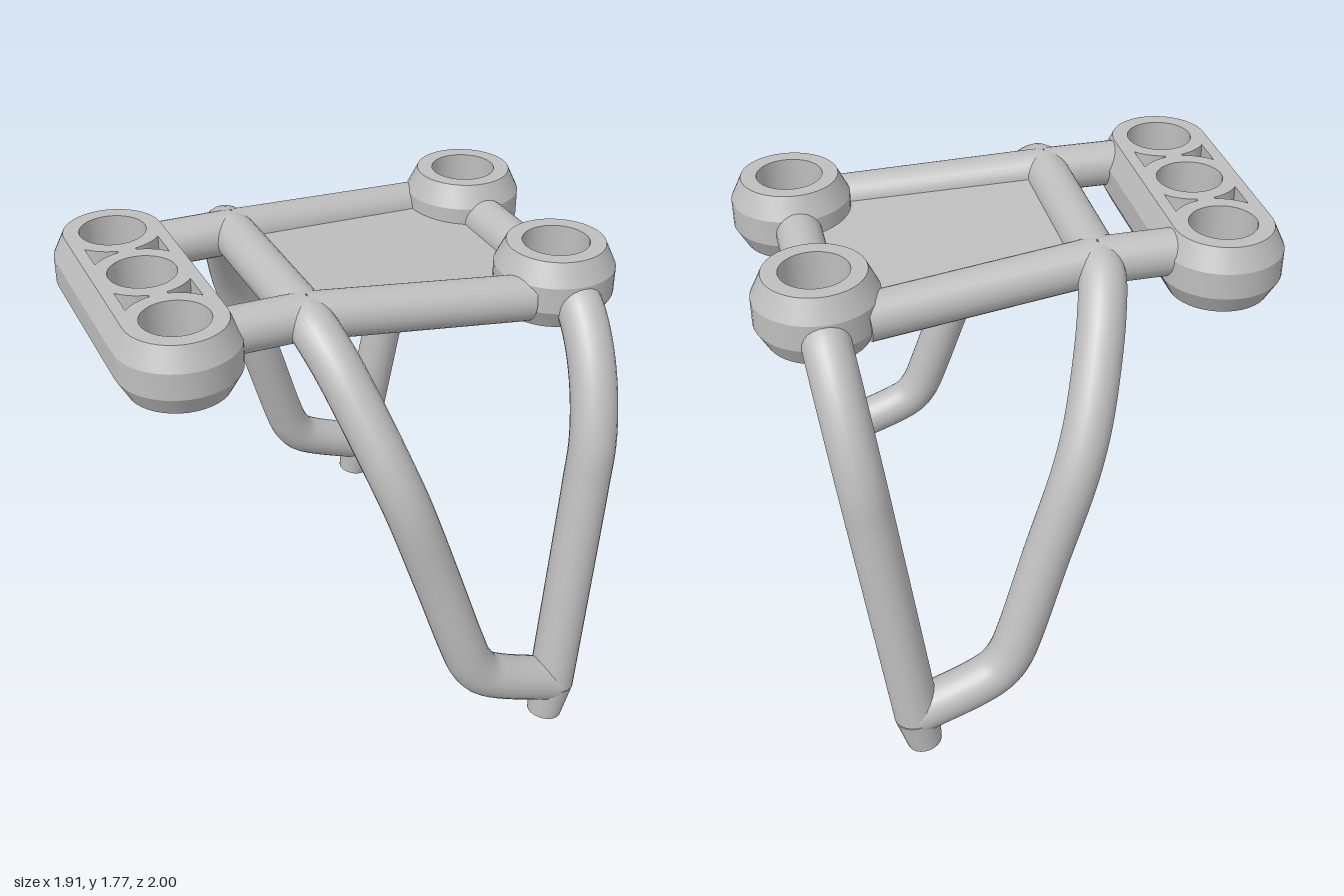
import * as THREE from 'three';
import { toCreasedNormals } from 'three/addons/utils/BufferGeometryUtils.js';

const R = 0.086; // tube radius
const HOLE = 0.124;
const V = (x, y, z) => new THREE.Vector3(x, y, z);

export function createModel() {
  const group = new THREE.Group();
  const grey = new THREE.MeshStandardMaterial({ color: 0xbebebe });
  grey.name = 'light grey';

  const add = (name, geometry, parent = group) => {
    const mesh = new THREE.Mesh(geometry, grey);
    mesh.name = name;
    parent.add(mesh);
    return mesh;
  };

  // Straight bar between two points
  const bar = (name, a, b, ra = R, rb = R) => {
    const dir = b.clone().sub(a);
    const mesh = add(name, new THREE.CylinderGeometry(rb, ra, dir.length(), 28));
    mesh.position.copy(a).add(b).multiplyScalar(0.5);
    mesh.quaternion.setFromUnitVectors(V(0, 1, 0), dir.normalize());
  };

  const bentTube = (name, points) => {
    const curve = new THREE.CatmullRomCurve3(points, false, 'centripetal');
    add(name, new THREE.TubeGeometry(curve, 64, R, 24, false));
  };

  // Rounded outline: two half circles, centres at y = -half and +half
  const outline = (r, half) => {
    const pts = [];
    for (let side = 0; side < 2; side++) {
      for (let i = 0; i <= 20; i++) {
        const a = Math.PI * (side + i / 20);
        pts.push(new THREE.Vector2(r * Math.cos(a), r * Math.sin(a) + (side ? -half : half)));
      }
    }
    return pts;
  };

  // Bored block: core with holes, wrapped in a chamfered outer skin
  const boredBlock = (name, x, z, half, holes) => {
    const part = new THREE.Group();
    part.name = name;
    part.position.set(x, 1.5, z);
    group.add(part);

    const shape = new THREE.Shape(outline(0.183, half));
    shape.holes.push(...holes);
    const core = new THREE.ExtrudeGeometry(shape, { depth: 0.26, bevelEnabled: false, curveSegments: 32 });
    add(name + 'Core', toCreasedNormals(core.rotateX(-Math.PI / 2), 0.5), part);

    const pos = [], index = [];
    const rows = [[0, 0.183], [0.075, 0.224], [0.175, 0.224], [0.26, 0.183]];
    const n = outline(1, half).length;
    rows.forEach(([y, r], k) => {
      outline(r, half).forEach((p, i) => {
        pos.push(p.x, p.y, y);
        if (k === rows.length - 1) return;
        const a = k * n + i, b = k * n + (i + 1) % n;
        index.push(a, b, a + n, b, b + n, a + n);
      });
    });
    const skin = new THREE.BufferGeometry();
    skin.setAttribute('position', new THREE.Float32BufferAttribute(pos, 3));
    skin.setIndex(index);
    add(name + 'Rim', toCreasedNormals(skin.rotateX(-Math.PI / 2), 0.35), part);
    return part;
  };

  const roundHole = (y) => new THREE.Path().absarc(0, y, HOLE, 0, Math.PI * 2, true);

  // Three-sided pocket with two concave edges, between neighbouring holes
  const pocket = (sx, sy) => {
    const mid = 0.1825, edge = [];
    for (let i = 0; i <= 6; i++) {
      const dx = 0.138 - 0.105 * i / 6;
      edge.push([dx, Math.sqrt(0.18 * 0.18 - dx * dx)]);
    }
    const back = edge.slice().reverse().map(([x, y]) => [x, 2 * mid - y]);
    return new THREE.Path([...edge, ...back].map(([x, y]) => new THREE.Vector2(sx * x, sy * y)));
  };

  // Rear triple block with pocket floors
  const holes = [-0.365, 0, 0.365].map(roundHole);
  for (const sx of [-1, 1]) for (const sy of [-1, 1]) holes.push(pocket(sx, sy));
  const rear = boredBlock('rearBlock', -0.735, 0, 0.365, holes);
  for (const s of [-1, 1]) {
    add('pocketFloor', new THREE.BoxGeometry(0.29, 0.08, 0.112), rear).position.set(0, 0.13, s * 0.1825);
  }

  // Cross bars
  bar('rearCrossBar', V(-0.27, 1.665, -0.365), V(-0.27, 1.665, 0.365));
  bar('frontCrossBar', V(0.722, 1.615, -0.2), V(0.722, 1.615, 0.2));

  // Both sides: ring, rails, legs and foot
  for (const s of [-1, 1]) {
    boredBlock('frontRing', 0.725, s * 0.365, 0, [roundHole(0)]);
    bar('rearStub', V(-0.575, 1.667, s * 0.365), V(-0.27, 1.665, s * 0.365));
    bar('sideRail', V(-0.27, 1.665, s * 0.365), V(0.57, 1.6, s * 0.45));

    bentTube('rearLeg', [
      V(-0.27, 1.665, s * 0.36), V(-0.265, 1.645, s * 0.45), V(-0.235, 1.56, s * 0.56),
      V(-0.19, 1.42, s * 0.67), V(-0.135, 1.25, s * 0.77), V(-0.08, 1.09, s * 0.825),
      V(0.03, 0.76, s * 0.86), V(0.13, 0.45, s * 0.893), V(0.165, 0.36, s * 0.9),
      V(0.215, 0.29, s * 0.905), V(0.29, 0.245, s * 0.91), V(0.53, 0.15, s * 0.916),
    ]);

    const legX = (y) => 0.53 + (y - 0.15) * 0.133;
    const legPath = [[1.605, 0.51], [1.58, 0.57], [1.48, 0.67], [1.34, 0.755],
      [1.17, 0.815], [1.0, 0.835], [0.6, 0.873], [0.14, 0.915]];
    bentTube('frontLeg', legPath.map(([y, z]) => V(legX(y), y, s * z)));
    bar('foot', V(0.505, 0, s * 0.923), V(0.529, 0.14, s * 0.915), 0.066, R);
  }

  // Thin panel filling the frame, sloping down to the front
  const half = [[-0.27, 0.36], [0.55, 0.36], [0.7, 0.17]];
  const points = [...half.map(([x, y]) => [x, -y]), ...half.slice().reverse()];
  const panelShape = new THREE.Shape(points.map(([x, y]) => new THREE.Vector2(x + 0.27, y)));
  const panel = new THREE.ExtrudeGeometry(panelShape, { depth: 0.02, bevelEnabled: false });
  panel.rotateX(-Math.PI / 2).rotateZ(-0.07);
  add('deckPanel', panel).position.set(-0.27, 1.655, 0);

  return group;
}
